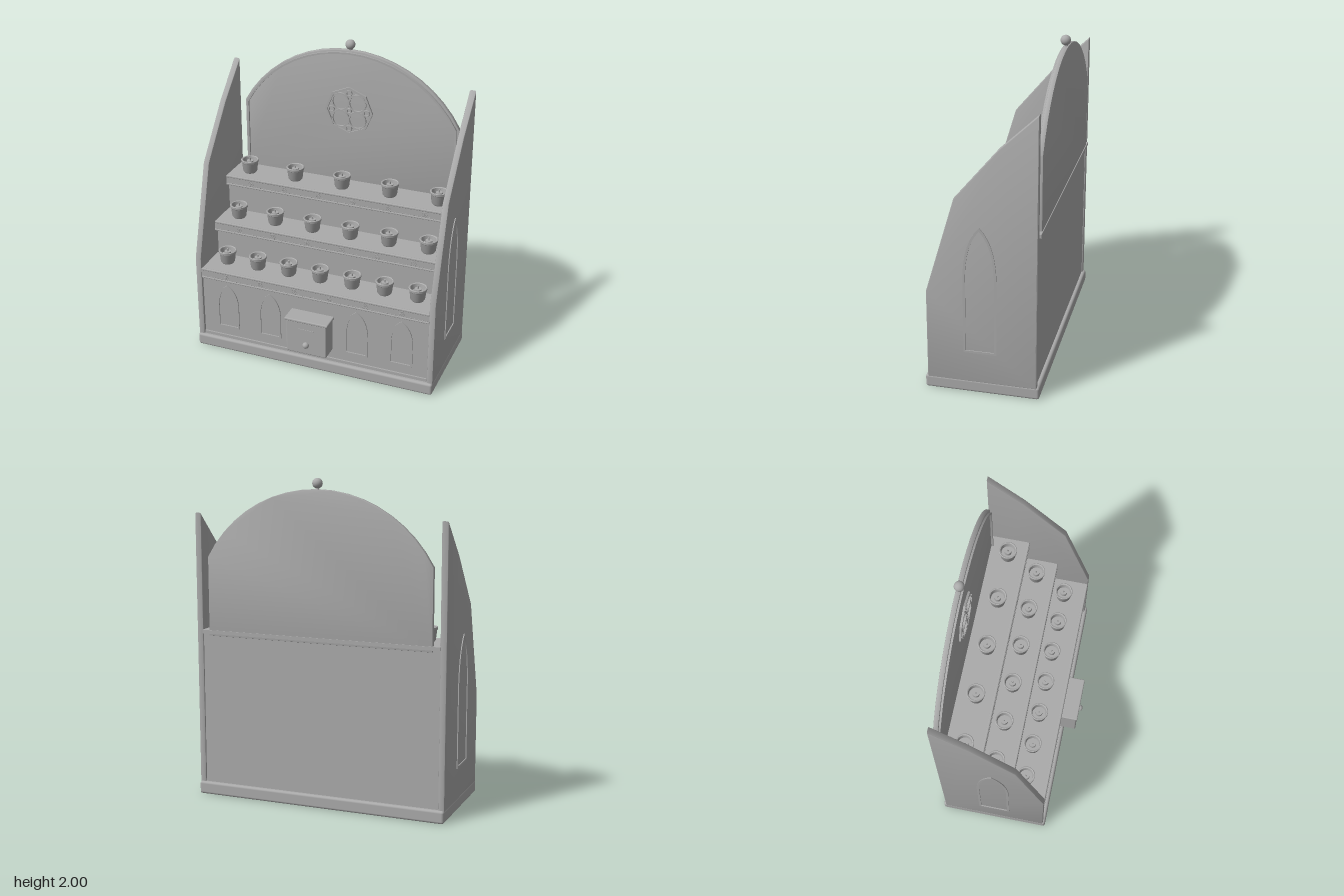
import * as THREE from 'three';
import { RoundedBoxGeometry } from 'three/addons/geometries/RoundedBoxGeometry.js';
import { mergeGeometries, toCreasedNormals } from 'three/addons/utils/BufferGeometryUtils.js';

export function createModel() {
  const root = new THREE.Group();
  const grey = new THREE.MeshStandardMaterial({ color: 0xaaaaaa });
  grey.name = 'plain grey';

  const add = (name, geometry, x = 0, y = 0, z = 0, parent = root) => {
    const mesh = new THREE.Mesh(geometry, grey);
    mesh.name = name;
    mesh.position.set(x, y, z);
    parent.add(mesh);
    return mesh;
  };
  // box given by its limits
  const box = (name, x0, x1, y0, y1, z0, z1, r = 0) => {
    const s = [x1 - x0, y1 - y0, z1 - z0];
    const g = r ? new RoundedBoxGeometry(...s, 2, r) : new THREE.BoxGeometry(...s);
    return add(name, g, (x0 + x1) / 2, (y0 + y1) / 2, (z0 + z1) / 2);
  };
  const extrude = (shape, depth, bevel = 0, segments = 6) =>
    toCreasedNormals(new THREE.ExtrudeGeometry(shape, {
      depth: depth - 2 * bevel, bevelEnabled: bevel > 0, bevelSize: bevel, bevelOffset: -bevel,
      bevelThickness: bevel, bevelSegments: 2, curveSegments: segments,
    }).translate(0, 0, bevel), 0.6);

  // pointed arch outline, standing on y = 0
  const lancet = (w, h, spring, inset = 0, Kind = THREE.Shape) => {
    const a = w / 2 - inset, top = h - inset * 1.5;
    const s = new Kind();
    s.moveTo(-a, inset);
    s.lineTo(a, inset);
    s.lineTo(a, spring);
    s.quadraticCurveTo(a * 0.93, spring + (top - spring) * 0.7, 0, top);
    s.quadraticCurveTo(-a * 0.93, spring + (top - spring) * 0.7, -a, spring);
    s.closePath();
    return s;
  };
  const lancetFrame = (w, h, spring, thickness, depth) => {
    const s = lancet(w, h, spring);
    s.holes.push(lancet(w, h, spring, thickness, THREE.Path));
    return extrude(s, depth);
  };

  // plinth
  box('plinth', -0.805, 0.805, 0, 0.08, -0.4, 0.295, 0.015);

  // side panels with their pointed frames
  const profile = [[0.28, 0.07], [0.28, 0.64], [0.105, 1.24], [-0.16, 1.56], [-0.385, 1.775], [-0.385, 0.07]];
  const sideShape = new THREE.Shape(profile.map(([z, y]) => new THREE.Vector2(-z, y)));
  for (const side of [-1, 1]) {
    const label = side > 0 ? 'left' : 'right';
    add(label + 'SidePanel', extrude(sideShape, 0.04, 0.008).rotateY(Math.PI / 2), side > 0 ? 0.765 : -0.805);
    add(label + 'SideFrame', lancetFrame(0.2, 0.81, 0.5, 0.014, 0.008).rotateY(side * Math.PI / 2),
      side * 0.803, 0.27, -0.045);
  }

  // stepped body, shelves and candle cups
  const cup = new THREE.LatheGeometry([
    [0, 0], [0.038, 0], [0.046, 0.012], [0.053, 0.07], [0.057, 0.074], [0.058, 0.088], [0.054, 0.091],
    [0.047, 0.088], [0.043, 0.055], [0, 0.055],
  ].map(([x, y]) => new THREE.Vector2(x, y)), 24);
  const candle = mergeGeometries([
    toCreasedNormals(cup, 0.7),
    new THREE.CylinderGeometry(0.022, 0.022, 0.03, 14).translate(0, 0.065, 0).toNonIndexed(),
    new THREE.CylinderGeometry(0.005, 0.005, 0.02, 6).translate(0, 0.088, 0).toNonIndexed(),
  ]);
  const flower = mergeGeometries([0, 1, 2, 3, 4].map((i) =>
    new THREE.TorusGeometry(0.007, 0.002, 5, 8)
      .translate(0.01 * Math.cos(i * Math.PI * 0.4), 0.01 * Math.sin(i * Math.PI * 0.4), 0)));
  const bead = new THREE.SphereGeometry(0.004, 6, 4);
  const tiers = [
    { name: 'lower', top: 0.57, front: 0.28, back: 0.06, bottom: 0.07, wall: 0.262, cups: 7, z: 0.135 },
    { name: 'middle', top: 0.81, front: 0.068, back: -0.13, bottom: 0.5, wall: 0.03, cups: 6, z: -0.055 },
    { name: 'upper', top: 1.055, front: -0.122, back: -0.375, bottom: 0.74, wall: -0.16, cups: 5, z: -0.24 },
  ];
  for (const t of tiers) {
    box(t.name + 'Body', -0.766, 0.766, t.bottom, t.top - 0.02, -0.376, t.wall);
    box(t.name + 'Shelf', -0.766, 0.766, t.top - 0.022, t.top, t.back - 0.02, t.front - 0.004);
    box(t.name + 'ShelfLip', -0.766, 0.766, t.top - 0.062, t.top - 0.004, t.front - 0.02, t.front - 0.004);
    box(t.name + 'LipTopMoulding', -0.766, 0.766, t.top - 0.012, t.top + 0.003, t.front - 0.016, t.front, 0.005);
    box(t.name + 'LipBottomMoulding', -0.766, 0.766, t.top - 0.066, t.top - 0.054, t.front - 0.016, t.front, 0.004);
    for (let i = 0; i < 6; i++) {
      add(t.name + 'LipFlower', flower, -0.59 + i * 0.236, t.top - 0.034, t.front - 0.003);
    }
    const beads = [];
    for (let i = 0; i < 60; i++) beads.push(bead.clone().translate(-0.75 + i * 1.5 / 59, 0, 0));
    add(t.name + 'LipBeads', mergeGeometries(beads), 0, t.top - 0.05, t.front - 0.004);
    for (let i = 0; i < t.cups; i++) {
      add(t.name + 'CandleCup', candle, -0.645 + 1.29 * i / (t.cups - 1), t.top, t.z);
    }
  }
  box('frontSkirting', -0.766, 0.766, 0.07, 0.1, 0.25, 0.272);

  // pointed frames on the front
  for (const x of [-0.59, -0.295, 0.295, 0.59]) {
    add('frontFrame', lancetFrame(0.15, 0.315, 0.17, 0.011, 0.01), x, 0.16, 0.26);
  }

  // offering box
  box('offeringBox', -0.135, 0.135, 0.16, 0.39, 0.255, 0.375, 0.008);
  box('offeringBoxLid', -0.145, 0.145, 0.386, 0.405, 0.255, 0.382, 0.007);
  box('offeringSlot', -0.05, 0.05, 0.334, 0.34, 0.37, 0.378);
  add('offeringKnob', new THREE.SphereGeometry(0.021, 18, 12), 0, 0.23, 0.38);

  // arched backboard, its trim and the finial
  const arch = (inset, y0, Kind = THREE.Shape) => {
    const cy = 1.113, r = 0.822 - inset, w = 0.72 - inset;
    const a = Math.acos(w / r);
    const s = new Kind();
    s.moveTo(-w, y0);
    s.lineTo(w, y0);
    s.absarc(0, cy, r, a, Math.PI - a, false);
    s.closePath();
    return s;
  };
  add('archedBackboard', extrude(arch(0, 1.02), 0.03, 0.005, 9), 0, 0, -0.39);
  const trim = arch(0.014, 1.04);
  trim.holes.push(arch(0.026, 1.05, THREE.Path));
  add('archTrim', extrude(trim, 0.014, 0, 9), 0, 0, -0.362);
  add('finial', new THREE.SphereGeometry(0.031, 20, 14), 0, 1.969, -0.37);
  add('finialStem', new THREE.CylinderGeometry(0.01, 0.014, 0.04, 12), 0, 1.935, -0.373);

  // tracery rosette
  const rosette = new THREE.Group();
  rosette.name = 'rosette';
  rosette.position.set(0, 1.535, -0.362);
  root.add(rosette);
  const ring = (outer, inner, n) => {
    const poly = (r) => Array.from({ length: n }, (_, i) =>
      new THREE.Vector2(r * Math.cos(i * 2 * Math.PI / n), r * Math.sin(i * 2 * Math.PI / n)));
    const s = new THREE.Shape(poly(outer));
    s.holes.push(new THREE.Path(poly(inner)));
    return extrude(s, 0.015);
  };
  add('rosetteRim', ring(0.16, 0.145, 8), 0, 0, 0, rosette);
  add('rosetteCentre', ring(0.018, 0.01, 12), 0, 0, 0, rosette);
  for (let i = 0; i < 4; i++) {
    const a = (i + 0.5) * Math.PI / 2;
    add('rosetteLobe', ring(0.06, 0.051, 16), 0.08 * Math.cos(a), 0.08 * Math.sin(a), 0, rosette);
    const b = i * Math.PI / 2;
    add('rosetteEye', ring(0.022, 0.015, 8), 0.118 * Math.cos(b), 0.118 * Math.sin(b), 0, rosette);
  }
  return root;
}
